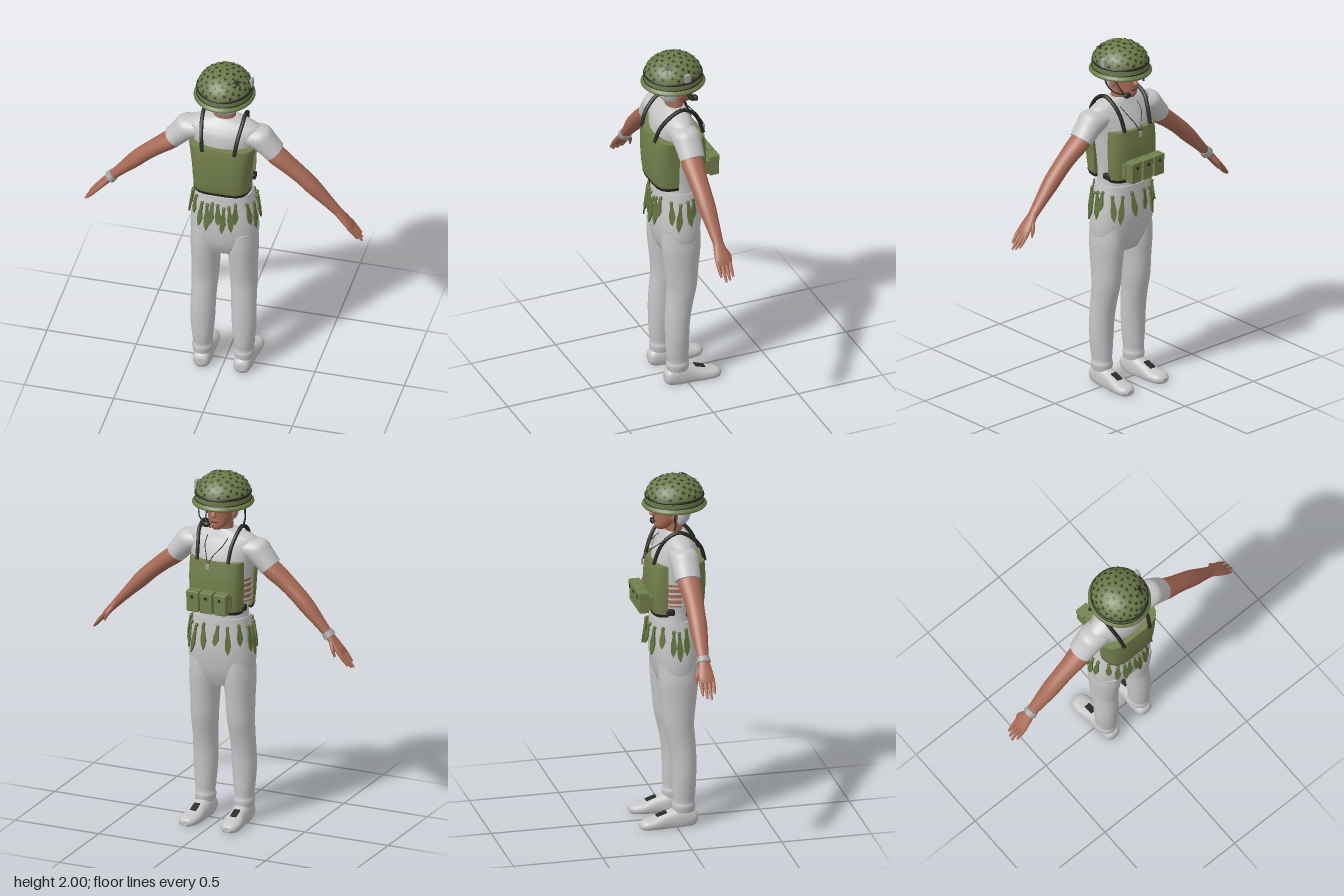
import * as THREE from 'three';
import { RoundedBoxGeometry } from 'three/addons/geometries/RoundedBoxGeometry.js';

const mat = (name, color) => Object.assign(new THREE.MeshStandardMaterial({ color }), { name });
const V = (x, y, z) => new THREE.Vector3(x, y, z);
const X = V(1, 0, 0), Y = V(0, 1, 0), Z = V(0, 0, 1);

// Smoothly interpolate rows of numbers
function smooth(keys, n) {
  const out = [], last = keys.length - 1;
  const at = i => keys[Math.max(0, Math.min(last, i))];
  for (let i = 0; i < last; i++) for (let k = 0; k < n; k++) {
    const t = k / n;
    out.push(keys[i].map((p1, c) => {
      const p0 = at(i - 1)[c], p2 = at(i + 1)[c], p3 = at(i + 2)[c];
      return p1 + 0.5 * t * (p2 - p0 + t * (2 * p0 - 5 * p1 + 4 * p2 - p3 + t * (3 * (p1 - p2) + p3 - p0)));
    }));
  }
  out.push(keys[last]);
  return out;
}

// Closed skin through superellipse sections [x, y, z, radiusU, radiusV]
function loft(keys, { u = X, v = Z, pow = 2, clamp = null, n = 5, sides = 32 } = {}) {
  const rows = smooth(keys, n), pos = [], idx = [];
  const axis = V(...rows.at(-1).slice(0, 3)).sub(V(...rows[0].slice(0, 3)));
  const w = u.clone().cross(v).dot(axis) < 0 ? v.clone().negate() : v;
  const bend = c => Math.sign(c) * Math.abs(c) ** (2 / pow);
  const ring = r => {
    for (let j = 0; j < sides; j++) {
      const a = j / sides * Math.PI * 2;
      const p = V(r[0], r[1], r[2]).addScaledVector(u, bend(Math.cos(a)) * r[3]).addScaledVector(w, bend(Math.sin(a)) * r[4]);
      if (clamp) clamp(p);
      pos.push(p.x, p.y, p.z);
    }
  };
  rows.forEach(ring);
  for (let i = 0; i < rows.length - 1; i++) for (let j = 0; j < sides; j++) {
    const a = i * sides + j, b = i * sides + (j + 1) % sides;
    idx.push(a, b, a + sides, b, b + sides, a + sides);
  }
  [rows[0], rows.at(-1)].forEach((r, end) => {
    const base = pos.length / 3;
    ring(r);
    const c = V(r[0], r[1], r[2]);
    if (clamp) clamp(c);
    pos.push(c.x, c.y, c.z);
    for (let j = 0; j < sides; j++) {
      const k = base + (j + 1) % sides;
      idx.push(base + sides, end ? base + j : k, end ? k : base + j);
    }
  });
  const g = new THREE.BufferGeometry();
  g.setAttribute('position', new THREE.Float32BufferAttribute(pos, 3));
  g.setIndex(idx);
  g.computeVertexNormals();
  return g;
}
// Upright sections [y, centreX, centreZ, radiusX, radiusZ]
const upright = (rows, o) => loft(rows.map(([y, x, z, a, b]) => [x, y, z, a, b]), o);
const tube = (pts, r) => new THREE.TubeGeometry(new THREE.CatmullRomCurve3(pts.map(p => V(...p))), 28, r, 8);

export function createModel() {
  const root = new THREE.Group();
  const cloth = mat('grey cloth', 0xc6c6c6), skin = mat('skin', 0xa86a56), green = mat('vest green', 0x737f4b);
  const helmetGreen = mat('helmet green', 0x6d7a48), dark = mat('black', 0x282a24), leafGreen = mat('strip green', 0x64723f);
  const metal = mat('metal grey', 0xa2a2a2);
  helmetGreen.side = leafGreen.side = dark.side = skin.side = cloth.side = THREE.DoubleSide;
  const add = (name, geo, m, p = [0, 0, 0], parent = root) => {
    const o = new THREE.Mesh(geo, m);
    o.name = name;
    o.position.set(...p);
    parent.add(o);
    return o;
  };

  // Shirt and hips
  add('shirt', upright([[1.14, 0, .01, .162, .118], [1.25, 0, .01, .15, .113], [1.4, 0, .012, .163, .12], [1.52, 0, .02, .18, .122],
    [1.6, 0, .03, .205, .105], [1.645, 0, .03, .2, .083], [1.675, 0, .025, .14, .065], [1.695, 0, .02, .072, .052]], {}), cloth);
  add('trouserHips', upright([[.8, 0, .02, .14, .08], [.86, 0, .02, .175, .107], [.93, 0, .018, .188, .122], [1.02, 0, .015, .184, .13],
    [1.12, 0, .012, .17, .125], [1.2, 0, .01, .157, .12]], { pow: 2.3 }), cloth);

  for (const s of [1, -1]) {
    // Trouser leg and shoe; faces -z
    add('trouserLeg', upright([[.95, s * .1, .02, .08, .11], [.85, s * .102, .02, .086, .11], [.72, s * .105, .02, .079, .097],
      [.6, s * .108, .02, .075, .085], [.5, s * .111, .034, .07, .077], [.4, s * .114, .046, .069, .07], [.3, s * .116, .049, .067, .066],
      [.2, s * .116, .048, .058, .063], [.15, s * .116, .046, .053, .059], [.125, s * .116, .046, .058, .064], [.09, s * .116, .046, .052, .06]], {}), cloth);
    add('shoe', loft([[s * .113, .05, .122, .02, .02], [s * .113, .05, .105, .043, .045], [s * .114, .05, .04, .05, .07], [s * .117, .04, -.04, .049, .056],
      [s * .122, .032, -.12, .056, .036], [s * .126, .028, -.175, .046, .028], [s * .127, .026, -.2, .02, .014]],
      { v: Y, pow: 2.3, clamp: p => { p.y = Math.max(p.y, .008); } }), cloth);
    const lace = add('shoeLace', new THREE.BoxGeometry(.034, .008, .06), dark, [s * .12, .083, -.08]);
    lace.rotation.x = -.36;

    // Arm, sleeve and hand
    const u = V(s * .74, .67, 0);
    add('sleeve', loft([[s * .13, 1.6, .03, .075, .075], [s * .19, 1.588, .03, .078, .08], [s * .235, 1.55, .03, .066, .075], [s * .283, 1.497, .03, .058, .07]],
      { u }), cloth);
    add('arm', loft([[s * .23, 1.535, .03, .05, .06], [s * .3, 1.475, .035, .052, .062], [s * .37, 1.42, .037, .047, .054], [s * .44, 1.36, .036, .044, .05],
      [s * .5, 1.3, .035, .042, .048], [s * .58, 1.215, .032, .03, .037], [s * .64, 1.15, .03, .023, .029]], { u }), skin);
    add('palm', loft([[s * .63, 1.16, .03, .023, .029], [s * .665, 1.122, .03, .02, .038], [s * .7, 1.082, .03, .017, .044], [s * .718, 1.06, .03, .012, .04]],
      { u }), skin);
    [.068, .08, .084, .062].forEach((len, i) => {
      const z = -.004 + i * .0225, e = [.7 + len * .9, 1.082 - len * 1.1];
      add('finger', loft([[s * .7, 1.082, z, .011, .011], [s * (.7 + e[0]) / 2, (1.082 + e[1]) / 2, z, .01, .0105], [s * e[0], e[1], z, .005, .006]], { u, sides: 10 }), skin);
    });
    add('thumb', loft([[s * .65, 1.135, .012, .014, .016], [s * .675, 1.095, -.014, .012, .013], [s * .69, 1.055, -.022, .005, .006]], { u, sides: 10 }), skin);

    // Shoulder strap, side buckle, ear, eye and brow
    add('shoulderStrap', tube([[s * .09, 1.53, .17], [s * .1, 1.61, .145], [s * .112, 1.68, .085], [s * .115, 1.71, .02], [s * .112, 1.68, -.045], [s * .1, 1.62, -.085], [s * .092, 1.53, -.115]], .011), dark);
    add('sideBuckle', new RoundedBoxGeometry(.03, .035, .045, 2, .008), dark, [s * .148, 1.262, -.035]);
    add('ear', new THREE.SphereGeometry(.024, 14, 10), skin, [s * .078, 1.785, .005]).scale.set(.45, 1.2, .8);
    add('eye', new THREE.SphereGeometry(.009, 10, 8), dark, [s * .03, 1.812, -.08]).scale.set(1.2, .6, .5);
    add('brow', new THREE.BoxGeometry(.03, .005, .008), dark, [s * .032, 1.828, -.081]).rotation.y = s * -.35;
  }

  // Wrist band
  const band = add('wristBand', new THREE.CylinderGeometry(.03, .034, .032, 20), metal, [-.628, 1.163, .03]);
  band.rotation.z = -.73;
  band.scale.z = 1.15;

  // Neck, head and hair
  add('neck', upright([[1.62, 0, .02, .068, .05], [1.69, 0, .018, .062, .048], [1.77, 0, .01, .058, .052]], {}), skin);
  add('head', upright([[1.703, 0, -.048, .022, .028], [1.72, 0, -.035, .043, .055], [1.75, 0, -.02, .06, .069], [1.79, 0, -.003, .07, .084],
    [1.83, 0, .005, .077, .093], [1.89, 0, .01, .075, .09]], {}), skin);
  add('hair', upright([[1.725, 0, .045, .05, .035], [1.75, 0, .052, .069, .048], [1.79, 0, .058, .08, .057], [1.85, 0, .06, .084, .064], [1.89, 0, .06, .08, .06]], {}), cloth);
  add('nose', loft([[0, 1.828, -.082, .008, .01], [0, 1.805, -.096, .011, .015], [0, 1.788, -.1, .016, .018], [0, 1.779, -.092, .01, .012]], { sides: 14 }), skin);
  add('mouth', new THREE.BoxGeometry(.036, .004, .008), dark, [0, 1.75, -.087]);

  // Helmet with brim, bands and star pattern
  const helmet = new THREE.Group();
  helmet.name = 'helmet';
  helmet.position.set(0, 0, .023);
  helmet.scale.z = 1.06;
  root.add(helmet);
  const lathe = (name, pts, m) => add(name, new THREE.LatheGeometry(pts.map(p => new THREE.Vector2(...p)), 48), m, [0, 0, 0], helmet);
  const dome = Array.from({ length: 13 }, (_, i) => [.15 * Math.cos(i * Math.PI / 24), 1.888 + .112 * Math.sin(i * Math.PI / 24)]);
  lathe('helmetDome', [[.15, 1.85], ...dome], helmetGreen);
  lathe('helmetBrim', [[.14, 1.842], [.164, 1.832], [.168, 1.838], [.166, 1.846], [.153, 1.858]], helmetGreen);
  lathe('lowerBand', [[.152, 1.852], [.155, 1.857], [.152, 1.862]], dark);
  lathe('upperBand', [[.149, 1.884], [.154, 1.889], [.154, 1.896], [.148, 1.901]], dark);
  const star = new THREE.Shape(Array.from({ length: 12 }, (_, i) => {
    const a = i * Math.PI / 6, r = i % 2 ? .0045 : .0175;
    return new THREE.Vector2(r * Math.cos(a), r * Math.sin(a));
  }));
  const starGeo = new THREE.ShapeGeometry(star);
  const placeStar = (dir, size, lift) => {
    const p = V(dir.x * .15, dir.y * .112, dir.z * .15);
    const nrm = V(dir.x / .15, dir.y / .112, dir.z / .15).normalize();
    p.addScaledVector(nrm, lift).add(V(0, 1.888, 0));
    const o = add('helmetStar', starGeo, dark, p.toArray(), helmet);
    o.up.set(dir.z, .3, -dir.x);
    o.lookAt(p.clone().add(nrm));
    o.scale.setScalar(size);
  };
  for (let i = 0; i < 84; i++) {
    const y = 1 - (i + .5) / 84 * .84, r = Math.sqrt(1 - y * y), a = i * 2.39996;
    placeStar(V(r * Math.cos(a), y, r * Math.sin(a)), .95, .0028);
  }
  placeStar(V(.55, .72, .42), 2.1, .006);
  add('helmetClip', new RoundedBoxGeometry(.018, .05, .034, 2, .005), metal, [.146, 1.922, 0]);

  // Chin strap, loose strap and microphone
  add('looseStrap', tube([[-.14, 1.845, .0], [-.147, 1.8, -.01], [-.145, 1.765, -.005], [-.138, 1.735, -.01]], .005), dark);
  add('microphoneBoom', tube([[.135, 1.845, .0], [.133, 1.8, -.01], [.11, 1.755, -.045], [.06, 1.735, -.085]], .004), dark);
  add('microphone', new THREE.SphereGeometry(.016, 14, 10), dark, [.05, 1.73, -.087]).scale.set(1.5, 1, .9);
  add('headsetStrap', tube([[.08, 1.85, -.005], [.077, 1.8, -.025], [.062, 1.745, -.062], [.03, 1.708, -.075]], .004), dark);

  // Necklace and pendant
  add('necklace', tube([[.065, 1.685, .01], [.055, 1.62, -.09], [.03, 1.57, -.13], [.01, 1.525, -.152], [-.01, 1.57, -.13], [-.05, 1.62, -.09], [-.065, 1.685, .01]], .0025), dark);
  add('pendant', new RoundedBoxGeometry(.02, .034, .008, 2, .003), metal, [.01, 1.512, -.155]);

  // Vest panels and dark hems
  const back = p => { p.z = Math.max(p.z, .055); }, front = p => { p.z = Math.min(p.z, -.05); };
  add('backVest', upright([[1.247, 0, 0, .157, .163], [1.3, 0, 0, .162, .172], [1.4, 0, 0, .168, .178], [1.5, 0, 0, .18, .174], [1.545, 0, 0, .188, .168]],
    { pow: 4, clamp: back, sides: 64 }), green);
  add('backVestHem', upright([[1.233, 0, 0, .155, .16], [1.252, 0, 0, .16, .167]], { pow: 4, clamp: back, sides: 64 }), dark);
  add('frontVest', upright([[1.247, 0, 0, .152, .122], [1.32, 0, 0, .157, .13], [1.43, 0, 0, .16, .132], [1.53, 0, 0, .158, .122]],
    { pow: 4, clamp: front, sides: 64 }), green);
  add('frontVestHem', upright([[1.234, 0, 0, .15, .119], [1.252, 0, 0, .155, .126]], { pow: 4, clamp: front, sides: 64 }), dark);

  // Chest pouches
  add('pouchBacking', new THREE.BoxGeometry(.24, .08, .03), green, [0, 1.315, -.136]);
  for (const x of [-.083, 0, .081]) {
    add('pouch', new RoundedBoxGeometry(.07, .112, .054, 2, .005), green, [x, 1.313, -.173]);
    add('pouchFlap', new RoundedBoxGeometry(.074, .036, .06, 2, .004), green, [x, 1.358, -.174]);
    add('pouchSnap', new THREE.BoxGeometry(.012, .016, .006), dark, [x, 1.345, -.205]);
  }

  // Open flank with bare skin and lacing
  const flank = (name, r, h, y, a, b, m) => {
    const d = Math.PI / 180;
    add(name, new THREE.CylinderGeometry(1, 1, h, 16, 1, true, a * d, (b - a) * d), m, [0, y, .012]).scale.set(r, 1, r * .74);
  };
  flank('flankSkin', .168, .13, 1.36, 240, 274, skin);
  for (let i = 0; i < 4; i++) flank('flankLace', .174, .012, 1.312 + i * .032, 232, 292, cloth);

  // Pointed cloth strips hanging around the hips
  const leaf = new THREE.Shape();
  leaf.moveTo(-.006, 0).lineTo(.006, 0).lineTo(.01, -.04).lineTo(.018, -.1).lineTo(.01, -.135).lineTo(0, -.16).lineTo(-.013, -.13).lineTo(-.015, -.08).lineTo(-.008, -.04);
  const leafGeo = new THREE.ExtrudeGeometry(leaf, { depth: .008, bevelEnabled: false });
  [-150, -128, -104, -92, -76, -52, -34, -22, -12, -2, 9, 18, 30, 54, 74, 90, 104, 126, 146, 164, -168].forEach((deg, i) => {
    const a = deg * Math.PI / 180, k = .65 + .35 * Math.abs(Math.sin(i * 2.3 + 1));
    const o = add('hangingStrip', leafGeo, leafGreen, [.176 * Math.sin(a), 1.155 + .012 * Math.sin(i * 1.7), .012 + .14 * Math.cos(a)]);
    o.rotation.set(-.13, a, .16 * Math.sin(i * 3.1), 'YXZ');
    o.scale.set(1.05, k, 1);
    add('stripKnot', new THREE.SphereGeometry(.011, 8, 6), leafGreen, o.position.toArray());
  });
  return root;
}
